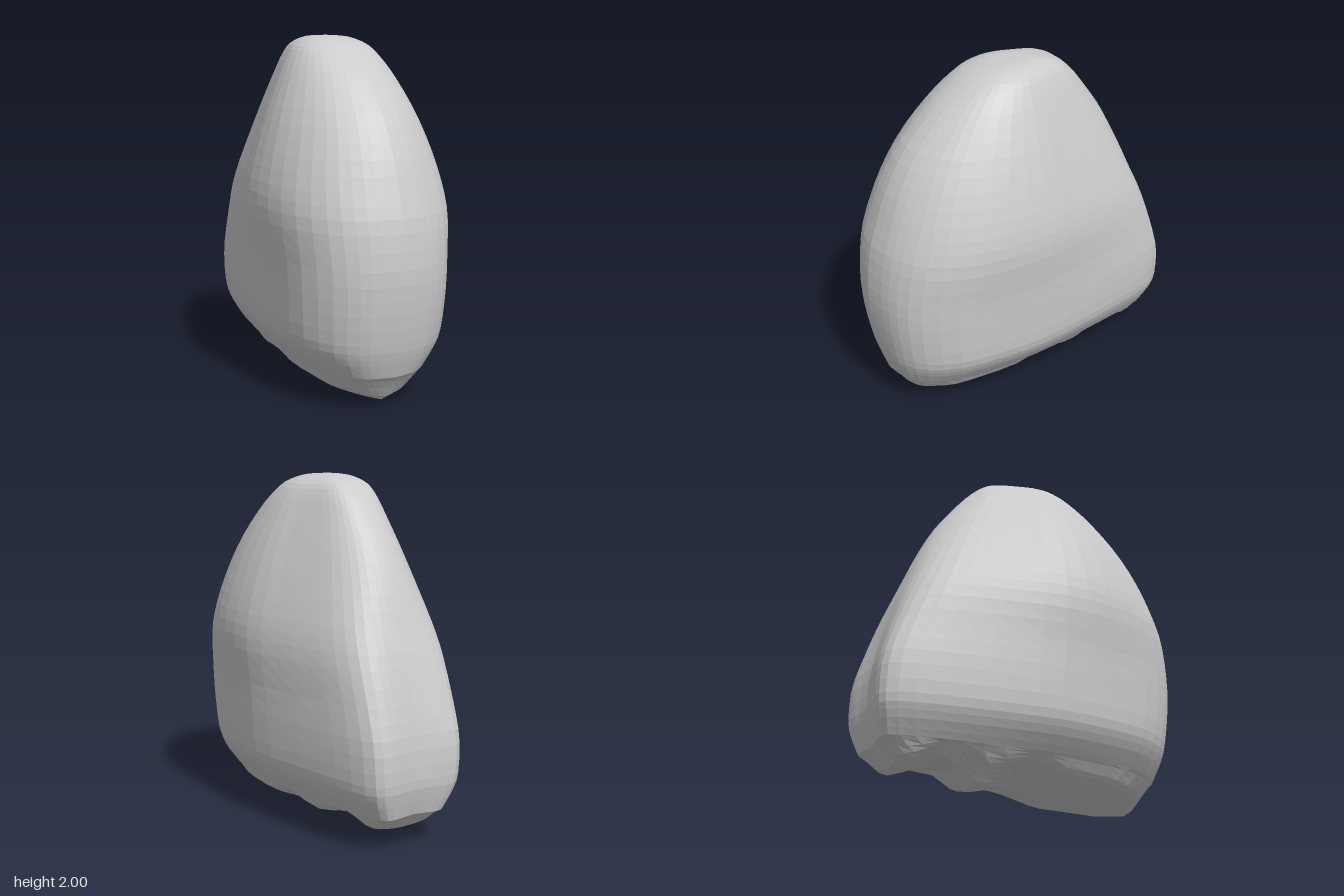
import * as THREE from 'three';

// Body rows from crown to base: height, half width, front z, back z, pinch of the rear upper flanks
const ROWS = [
  [2.0, 0.06, 0.07, -0.07, 0.2], [1.99, 0.13, 0.15, -0.16, 0.4], [1.95, 0.21, 0.27, -0.28, 0.6],
  [1.88, 0.265, 0.385, -0.365, 0.8], [1.78, 0.32, 0.51, -0.445, 0.95], [1.6, 0.4, 0.675, -0.57, 1],
  [1.4, 0.468, 0.79, -0.67, 0.85], [1.2, 0.515, 0.865, -0.75, 0.6], [1.03, 0.525, 0.915, -0.815, 0.4],
  [0.8, 0.5, 0.94, -0.885, 0.15], [0.6, 0.486, 0.93, -0.93, 0], [0.4, 0.47, 0.9, -0.938, 0],
  [0.3, 0.43, 0.875, -0.92, 0], [0.2, 0.355, 0.84, -0.89, 0],
];
// Half outline from front to back, as fractions of width and depth: full (low) and pinched (high)
const FULL = [[0, 1], [0.25, 0.98], [0.48, 0.94], [0.71, 0.84], [0.9, 0.64], [0.98, 0.36], [1, 0.04], [0.92, -0.27], [0.82, -0.56], [0.71, -0.82], [0.58, -0.97], [0.4, -1], [0.18, -0.985], [0, -0.975]];
const PINCHED = [[0, 1], [0.24, 0.975], [0.46, 0.905], [0.67, 0.8], [0.86, 0.62], [0.98, 0.36], [0.96, 0.07], [0.83, -0.2], [0.7, -0.47], [0.57, -0.71], [0.43, -0.86], [0.28, -0.95], [0.13, -0.99], [0, -1]];
// Underside height along z, with a hollow ahead of the rear rim
const KEEL = [[0.85, 0.1], [0.7, 0.025], [0.5, 0], [0.2, 0], [0, 0.05], [-0.12, 0.08], [-0.26, 0.05], [-0.5, 0.16], [-0.75, 0.08], [-0.88, 0.12]];

const curve = (pts) => new THREE.SplineCurve(pts.map(([a, b]) => new THREE.Vector2(a, b)));
const { lerp, smoothstep } = THREE.MathUtils;

// Keel line along the middle, rising to both sides, steeper at the front
function undersideY(x, z) {
  let i = 0;
  while (i < KEEL.length - 2 && z < KEEL[i + 1][0]) i++;
  const [z0, y0] = KEEL[i], [z1, y1] = KEEL[i + 1];
  const slope = lerp(0.05, 0.25, smoothstep(z, -0.5, 0.4));
  return lerp(y0, y1, smoothstep(-z, -z0, -z1)) + slope * Math.abs(x) + 0.6 * x * x;
}

export function createModel() {
  const HALF = 26, SEG = HALF * 2, STEPS = 32;
  const columns = [1, 2, 3, 4].map((k) => curve(ROWS.map((r) => [r[0], r[k]])));
  const full = curve(FULL), pinched = curve(PINCHED);

  // One closed outline, mirrored across x
  const outline = (y, w, front, back, pinch) => {
    const ring = [];
    for (let j = 0; j < SEG; j++) {
      const mirrored = j > HALF;
      const u = (mirrored ? SEG - j : j) / HALF;
      const p = full.getPoint(u).lerp(pinched.getPoint(u), pinch);
      ring.push(new THREE.Vector3((mirrored ? -1 : 1) * p.x * w, y, p.y > 0 ? p.y * front : -p.y * back));
    }
    return ring;
  };

  // Crown point and outer walls
  const rings = [Array.from({ length: SEG }, () => new THREE.Vector3(0, 2, 0))];
  for (let i = 0; i <= STEPS; i++) {
    const pts = columns.map((c) => c.getPoint(i / STEPS));
    rings.push(outline(pts[0].x, ...pts.map((p) => p.y)));
  }

  // Underside: the last outline rounds over and shrinks inward across the uneven base
  const rim = rings[rings.length - 1];
  for (const s of [0.97, 0.93, 0.88, 0.82, 0.73, 0.62, 0.48, 0.34, 0.2, 0.1, 0]) {
    const settle = Math.sin(Math.min(1, (1 - s) / 0.18) * Math.PI / 2);
    rings.push(rim.map((p) => {
      const x = p.x * s, z = p.z * s;
      return new THREE.Vector3(x, lerp(0.2, undersideY(x, z), settle), z);
    }));
  }

  // Skin the rings, with single triangles at the two poles
  const positions = rings.flatMap((ring) => ring.flatMap((p) => p.toArray()));
  const index = [], last = rings.length - 2;
  for (let i = 0; i <= last; i++) {
    for (let j = 0; j < SEG; j++) {
      const k = (j + 1) % SEG;
      const a = i * SEG + j, b = a + SEG, c = (i + 1) * SEG + k, d = i * SEG + k;
      if (i === last) index.push(a, b, d);
      else index.push(a, b, c);
      if (i > 0 && i < last) index.push(a, c, d);
    }
  }
  const geometry = new THREE.BufferGeometry();
  geometry.setAttribute('position', new THREE.Float32BufferAttribute(positions, 3));
  geometry.setIndex(index);
  geometry.computeVertexNormals();

  const body = new THREE.Mesh(geometry, new THREE.MeshStandardMaterial({ color: 0xcccccc, flatShading: true }));
  body.name = 'stoneBody';
  const group = new THREE.Group();
  group.name = 'stone';
  group.add(body);
  return group;
}
